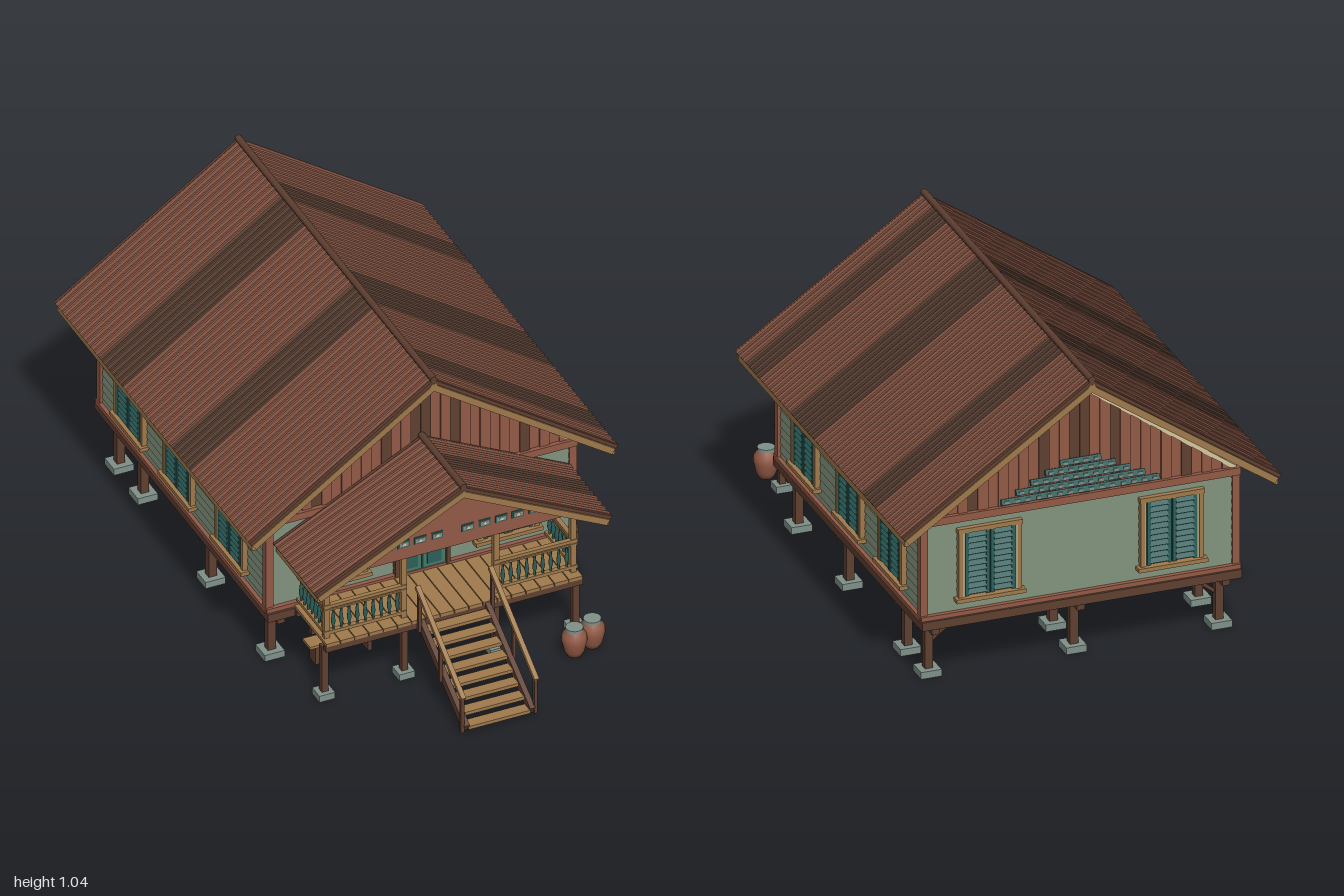
import * as THREE from 'three';

const mat = (name, color) => {
  const m = new THREE.MeshStandardMaterial({ color });
  m.name = name;
  return m;
};
const M = {
  roof: mat('roofBrown', 0x885746), roofDark: mat('weatheredBrown', 0x5c4235),
  clay: mat('terracotta', 0x935a46), tan: mat('tanWood', 0xa07a4c),
  sage: mat('sageSiding', 0x7c8c78), teal: mat('tealShutter', 0x2c5f5b),
  green: mat('doorGreen', 0x437a68), cream: mat('creamTrim', 0xd6c9a0),
  wood: mat('darkWood', 0x5f3f31), stone: mat('footingStone', 0x80918a),
};

const add = (parent, name, geo, material, x = 0, y = 0, z = 0) => {
  const m = new THREE.Mesh(geo, material);
  m.name = name;
  m.position.set(x, y, z);
  parent.add(m);
  return m;
};
const box = (p, name, material, w, h, d, x, y, z) => add(p, name, new THREE.BoxGeometry(w, h, d), material, x, y, z);
// Straight timber between two points
const beam = (p, name, material, w, h, a, b) => {
  const A = new THREE.Vector3(...a), B = new THREE.Vector3(...b);
  const m = new THREE.Mesh(new THREE.BoxGeometry(w, h, A.distanceTo(B)), material);
  m.name = name;
  m.position.copy(A).add(B).multiplyScalar(0.5);
  m.lookAt(B);
  p.add(m);
  return m;
};
const group = (p, name, x = 0, y = 0, z = 0) => {
  const g = new THREE.Group();
  g.name = name;
  g.position.set(x, y, z);
  p.add(g);
  return g;
};
const plate = (pts, depth) => new THREE.ExtrudeGeometry(
  new THREE.Shape(pts.map(([x, y]) => new THREE.Vector2(x, y))), { depth, bevelEnabled: false });

// Pitched roof: tan deck, ribbed sheets in two browns, eave boards and ridge pole
function buildRoof(p, name, ridgeY, halfW, slope, z0, z1, bands) {
  const roof = group(p, name, 0, ridgeY, 0);
  const len = z1 - z0, zc = (z0 + z1) / 2, L = halfW * Math.hypot(1, slope);
  for (const s of [-1, 1]) {
    const side = group(roof, s > 0 ? 'leftSlope' : 'rightSlope');
    side.rotation.z = -s * Math.atan(slope);
    box(side, 'roofDeck', M.tan, L - 0.01, 0.02, len - 0.006, s * (L - 0.01) / 2, -0.024, zc);
    const n = Math.round(len / 0.03), pitch = len / n;
    for (let i = 0; i < n; i++) {
      const z = z0 + (i + 0.5) * pitch;
      const m = bands(s).some(([a, b]) => z > a && z < b) ? M.roofDark : M.roof;
      box(side, 'roofSheet', m, L, 0.01, pitch, s * L / 2, -0.01, z);
      box(side, 'roofRib', m, L, 0.008, pitch * 0.5, s * L / 2, -0.002, z);
    }
    for (const z of [z0, z1]) {
      box(side, 'vergeCap', M.wood, L, 0.012, 0.01, s * L / 2, -0.005, z);
      box(side, 'bargeBoard', M.tan, L - 0.005, 0.022, 0.012, s * L / 2, -0.024, z);
    }
    box(roof, 'eaveBoard', M.tan, 0.014, 0.026, len, s * (halfW - 0.016), -halfW * slope - 0.02, zc);
  }
  const pole = add(roof, 'ridgePole', new THREE.CylinderGeometry(0.012, 0.012, len + 0.01, 8), M.wood, 0, 0.002, zc);
  pole.rotation.x = Math.PI / 2;
}

// Louvred double shutter in a tan frame, facing +z
function buildWindow(p, x) {
  const w = group(p, 'window', x, 0.4, 0);
  box(w, 'shutterBack', M.teal, 0.18, 0.225, 0.012, 0, 0, 0.004);
  for (const s of [-1, 1]) {
    box(w, 'frameSide', M.tan, 0.016, 0.25, 0.022, s * 0.1, 0, 0.008);
    box(w, 'frameEdge', M.cream, 0.005, 0.23, 0.018, s * 0.0895, 0, 0.008);
    for (const e of [0.008, 0.079]) box(w, 'shutterStile', M.teal, 0.012, 0.225, 0.014, s * e, 0, 0.011);
    for (let i = 0; i < 11; i++) {
      box(w, 'louvre', M.teal, 0.062, 0.016, 0.005, s * 0.044, -0.1 + i * 0.02, 0.015).rotation.x = -0.55;
    }
  }
  box(w, 'frameTop', M.tan, 0.22, 0.016, 0.024, 0, 0.119, 0.008);
  box(w, 'sill', M.tan, 0.236, 0.014, 0.036, 0, -0.122, 0.012);
}

// One wall: overlapping siding and windows
function buildWall(house, name, angle, half, dist, windows) {
  const outer = group(house, name);
  outer.rotation.y = angle;
  const wall = group(outer, 'wallFace', 0, 0, dist);
  for (let i = 0; i < 11; i++) {
    box(wall, 'sidingBoard', M.sage, half * 2, 0.031, 0.008, 0, 0.24 + i * 0.03, -0.003).rotation.x = -0.12;
  }
  windows.forEach((x) => buildWindow(wall, x));
  return wall;
}

// Vertical-board gable with cream trim and stepped vent louvres
function buildGable(wall) {
  const g = group(wall, 'gable');
  const top = (x) => 0.955 - Math.abs(x) * 0.72;
  const n = 30, w = 1.04 / n;
  for (let i = 0; i < n; i++) {
    const a = -0.52 + i * w, b = a + w;
    const m = [4, 11, 14, 15, 18, 25].includes(i) ? M.wood : M.clay;
    add(g, 'gableBoard', plate([[a, 0.565], [b, 0.565], [b, top(b)], [a, top(a)]], 0.014), m, 0, 0, -0.014 + (i % 2) * 0.005);
  }
  for (const s of [-1, 1]) beam(g, 'gableTrim', M.cream, 0.012, 0.014, [0, 0.957, 0], [s * 0.53, 0.575, 0]);
  for (let r = 0; r < 5; r++) {
    const half = 0.27 - r * 0.05, count = Math.round(half * 2 / 0.035);
    box(g, 'ventSlat', M.teal, half * 2, 0.02, 0.012, 0, 0.592 + r * 0.026, 0.008).rotation.x = -0.4;
    for (let i = 0; i < count; i++) {
      box(g, 'ventTile', M.stone, 0.015, 0.01, 0.006, -half + (i + 0.5) * half * 2 / count, 0.592 + r * 0.026, 0.014);
    }
  }
}

function buildHouse(root) {
  const house = group(root, 'house', 0, 0, -0.2475);
  box(house, 'roomBody', M.sage, 1.05, 0.34, 1.245, 0, 0.395, 0);
  box(house, 'floor', M.wood, 1.09, 0.03, 1.31, 0, 0.207, 0);
  const front = buildWall(house, 'frontWall', 0, 0.525, 0.63, [-0.3, 0.3]);
  const back = buildWall(house, 'backWall', Math.PI, 0.525, 0.63, [-0.31, 0.31]);
  buildWall(house, 'leftWall', Math.PI / 2, 0.625, 0.534, [-0.3725, 0.02, 0.385]);
  buildWall(house, 'rightWall', -Math.PI / 2, 0.625, 0.534, [0.3725, -0.02, -0.385]);
  [front, back].forEach(buildGable);
  for (const s of [-1, 1]) {
    for (const z of [-1, 1]) box(house, 'cornerPost', M.clay, 0.026, 0.345, 0.026, s * 0.532, 0.395, z * 0.625);
    box(house, 'sidePlate', M.clay, 0.024, 0.026, 1.28, s * 0.536, 0.564, 0);
    box(house, 'endPlate', M.clay, 1.09, 0.026, 0.026, 0, 0.564, s * 0.632);
    box(house, 'sideSill', M.clay, 0.018, 0.016, 1.28, s * 0.54, 0.229, 0);
    box(house, 'endSill', M.clay, 1.09, 0.016, 0.018, 0, 0.229, s * 0.638);
  }
  // Double door
  for (const s of [-1, 1]) {
    box(front, 'doorLeaf', M.green, 0.08, 0.235, 0.016, s * 0.042, 0.35, 0.006);
    box(front, 'doorPanel', M.teal, 0.05, 0.07, 0.006, s * 0.042, 0.285, 0.014);
    box(front, 'doorPane', M.teal, 0.05, 0.11, 0.006, s * 0.042, 0.395, 0.012);
    box(front, 'doorPaneInset', M.green, 0.038, 0.098, 0.006, s * 0.042, 0.395, 0.014);
    box(front, 'doorHandle', M.tan, 0.006, 0.03, 0.008, s * 0.012, 0.36, 0.018);
    box(front, 'doorJamb', M.wood, 0.012, 0.25, 0.024, s * 0.09, 0.355, 0.008);
  }
  box(front, 'doorHead', M.wood, 0.2, 0.014, 0.024, 0, 0.478, 0.008);
}

function buildStilts(root) {
  const g = group(root, 'stilts');
  const stilt = (x, z, w) => {
    box(g, 'footing', M.stone, w * 2.5, 0.024, w * 2.5, x, 0.012, z);
    box(g, 'stilt', M.wood, w, 0.18, w, x, 0.11, z);
  };
  const xs = [-0.495, 0, 0.495], zs = [0.315, -0.13, -0.64, -0.82];
  for (const z of zs) {
    xs.forEach((x) => stilt(x, z, 0.028));
    box(g, 'crossBeam', M.wood, 1.07, 0.026, 0.026, 0, 0.185, z);
    for (const s of [-1, 1]) beam(g, 'brace', M.wood, 0.012, 0.012, [s * 0.485, 0.12, z], [s * 0.4, 0.185, z]);
  }
  for (const x of xs) box(g, 'longBeam', M.wood, 0.026, 0.026, 1.29, x, 0.182, -0.2475);
  for (const x of [-0.44, -0.16, 0.16, 0.44]) stilt(x, 0.6, 0.022);
}

function buildPorch(root) {
  const g = group(root, 'porch');
  for (let i = 0; i < 18; i++) box(g, 'deckPlank', M.tan, 0.047, 0.012, 0.25, -0.425 + i * 0.05, 0.222, 0.515);
  for (const z of [0.41, 0.52, 0.63]) box(g, 'deckBeam', M.wood, 0.9, 0.022, 0.02, 0, 0.206, z);
  const baluster = new THREE.LatheGeometry([[0.004, 0], [0.004, 0.02], [0.008, 0.035], [0.005, 0.06], [0.004, 0.088]]
    .map(([r, y]) => new THREE.Vector2(r, y)), 8);
  for (const s of [-1, 1]) {
    for (const x of [0.432, 0.162]) box(g, 'porchPost', M.tan, 0.02, 0.245, 0.02, s * x, 0.35, 0.6);
    for (const [y, h] of [[0.35, 0.012], [0.337, 0.006], [0.25, 0.012]]) {
      box(g, 'frontRail', M.tan, 0.29, h, 0.016, s * 0.3, y, 0.605);
      box(g, 'sideRail', M.tan, 0.016, h, 0.21, s * 0.435, y, 0.505);
    }
    for (let i = 0; i < 9; i++) add(g, 'baluster', baluster, M.teal, s * (0.185 + i * 0.028), 0.25, 0.605);
    for (let i = 0; i < 7; i++) add(g, 'baluster', baluster, M.teal, s * 0.435, 0.25, 0.42 + i * 0.027);
    box(g, 'porchPlate', M.tan, 0.02, 0.02, 0.27, s * 0.432, 0.475, 0.515);
    // Pierced lights with cream diamonds
    for (let i = 0; i < 5; i++) {
      const x = s * (0.054 + i * 0.0585);
      box(g, 'ventLight', M.teal, 0.042, 0.026, 0.006, x, 0.525, 0.622);
      box(g, 'ventLightInset', M.stone, 0.032, 0.016, 0.006, x, 0.525, 0.624);
      box(g, 'diamond', M.cream, 0.011, 0.011, 0.006, x, 0.525, 0.626).rotation.z = Math.PI / 4;
    }
  }
  add(g, 'porchGable', plate([[-0.445, 0.465], [0.445, 0.465], [0, 0.71]], 0.016), M.clay, 0, 0, 0.606);
}

function buildStairs(root) {
  const g = group(root, 'stairs');
  for (let i = 0; i < 8; i++) box(g, 'tread', M.tan, 0.215, 0.012, 0.04, 0, 0.2 - i * 0.026, 0.665 + i * 0.042);
  for (const s of [-1, 1]) {
    const x = s * 0.115;
    beam(g, 'stringer', M.wood, 0.018, 0.032, [x, 0.213, 0.635], [x, 0.018, 0.975]);
    beam(g, 'handrail', M.tan, 0.016, 0.014, [s * 0.128, 0.355, 0.635], [s * 0.128, 0.137, 0.982]);
    for (const [z, y, h] of [[0.65, 0.19, 0.16], [0.81, 0.1, 0.145], [0.972, 0.005, 0.14]]) {
      box(g, 'railPost', M.wood, 0.012, h, 0.012, s * 0.128, y + h / 2, z);
    }
  }
}

// Water jars and bench beneath the house
function buildYard(root) {
  const profile = [[0, 0], [0.024, 0], [0.034, 0.02], [0.042, 0.055], [0.04, 0.078], [0.027, 0.096]];
  const jar = new THREE.LatheGeometry(profile.map(([r, y]) => new THREE.Vector2(r, y)), 16);
  for (const [x, z] of [[0.38, 0.725], [0.452, 0.705]]) {
    const g = group(root, 'waterJar', x, 0, z);
    add(g, 'jarBody', jar, M.clay);
    add(g, 'jarLid', new THREE.CylinderGeometry(0.029, 0.029, 0.012, 16), M.stone, 0, 0.1, 0);
  }
  const bench = group(root, 'bench', -0.292, 0, 0.41);
  box(bench, 'benchSeat', M.tan, 0.24, 0.01, 0.056, 0, 0.072, 0);
  for (const s of [-1, 1]) box(bench, 'benchLeg', M.wood, 0.014, 0.068, 0.046, s * 0.092, 0.034, 0);
}

export function createModel() {
  const root = new THREE.Group();
  root.name = 'stiltHouse';
  buildHouse(root);
  buildStilts(root);
  buildPorch(root);
  buildStairs(root);
  buildYard(root);
  buildRoof(root, 'mainRoof', 1.022, 0.645, 0.69, -0.985, 0.48,
    (s) => s > 0 ? [[-0.74, -0.64], [-0.21, 0], [0.27, 0.4]] : [[-0.66, -0.47], [-0.13, 0.02]]);
  buildRoof(root, 'porchRoof', 0.748, 0.52, 0.51, 0.395, 0.705, (s) => s > 0 ? [[0.48, 0.58]] : []);
  return root;
}
